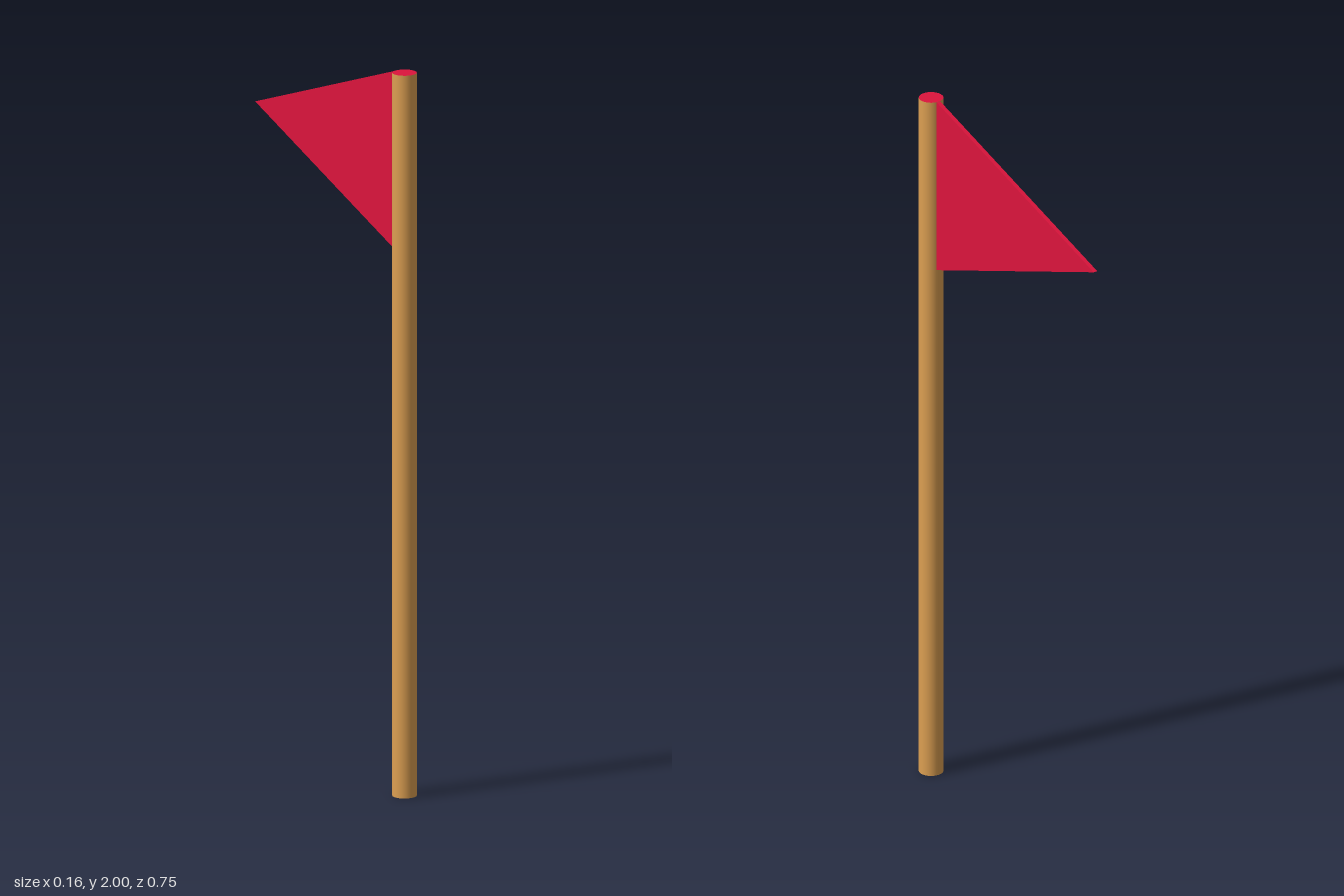
import * as THREE from 'three';

export function createModel() {
  const model = new THREE.Group();
  const wood = new THREE.MeshStandardMaterial({ color: 0xdc9f52 });
  const red = new THREE.MeshStandardMaterial({ color: 0xdc143c });

  // Round pole with red end caps
  const radius = 0.033;
  const pole = new THREE.Mesh(
    new THREE.CylinderGeometry(radius, radius, 2, 32),
    [wood, red, red]
  );
  pole.name = 'pole';
  pole.position.set(-0.05, 1, 0.34);
  model.add(pole);

  // Thin triangular pennant, starting just inside the pole's surface
  const thickness = 0.012;
  const outline = new THREE.Shape([
    new THREE.Vector2(0.03, 1.5),
    new THREE.Vector2(0.723, 1.76),
    new THREE.Vector2(0.03, 2),
  ]);
  const flagGeometry = new THREE.ExtrudeGeometry(outline, { depth: thickness, bevelEnabled: false });
  flagGeometry.translate(0, 0, -thickness / 2);
  const pennant = new THREE.Mesh(flagGeometry, red);
  pennant.name = 'pennant';
  pennant.position.set(-0.05, 0, 0.34);
  pennant.rotation.y = THREE.MathUtils.degToRad(80);
  model.add(pennant);

  return model;
}
